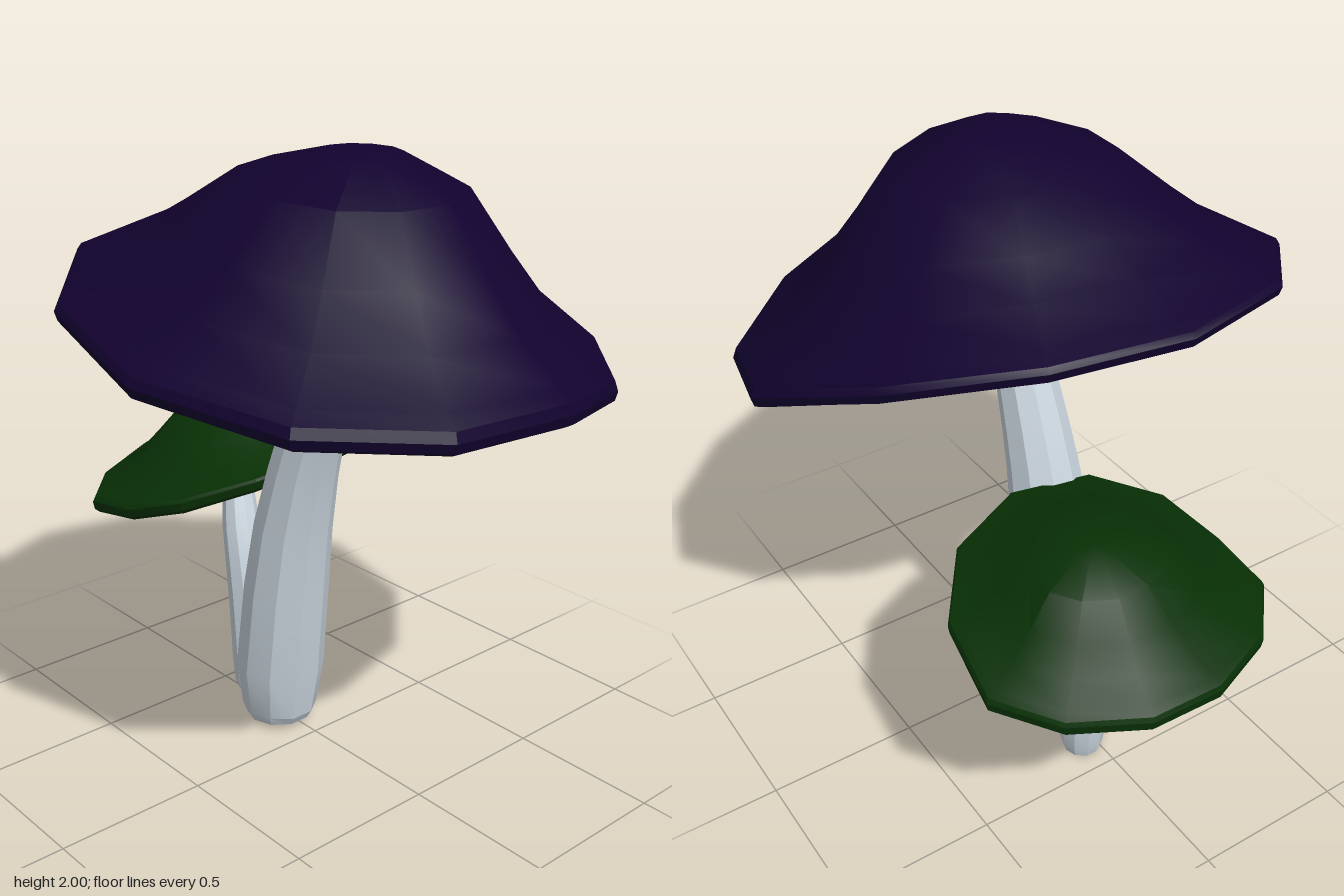
import * as THREE from 'three';
import { toCreasedNormals } from 'three/addons/utils/BufferGeometryUtils.js';

// Skin a list of equal-length closed rings (arrays of Vector3)
function loft(rings, crease) {
  const n = rings[0].length, index = [];
  for (let j = 0; j < rings.length - 1; j++) {
    for (let i = 0; i < n; i++) {
      const a = j * n + i, b = j * n + (i + 1) % n;
      index.push(a, b, a + n, b, b + n, a + n);
    }
  }
  const geo = new THREE.BufferGeometry().setFromPoints(rings.flat());
  geo.setIndex(index);
  return toCreasedNormals(geo, crease);
}

// Cap profile: [share of the rim radius, share of the rise from rim to apex]
const DOME = [[0, 1], [0.15, 0.975], [0.42, 0.8], [0.6, 0.5], [0.75, 0.27], [0.93, 0.1], [0.985, 0.05], [1, 0]];
// Rolled lip: [share of the rim radius, drop below the rim]
const LIP = [[0.99, 0.028], [0.96, 0.042]];

function cap(rim, apex, underY) {
  const ring = (s, height) => rim.map(([x, y, z]) => new THREE.Vector3(
    THREE.MathUtils.lerp(apex[0], x, s), height(y), THREE.MathUtils.lerp(apex[2], z, s)));
  const rings = DOME.map(([s, t]) => ring(s, y => THREE.MathUtils.lerp(y, apex[1], t)));
  for (const [s, d] of LIP) rings.push(ring(s, y => y - d));
  // shallow underside up to the stem
  for (const s of [0.5, 0]) {
    rings.push(ring(s, y => THREE.MathUtils.lerp(underY, y - 0.042, s)));
  }
  return loft(rings, 0.5);
}

// Faceted stem through stations [x, y, z, radius], listed from top to bottom
function stem(stations, sides = 10) {
  const path = new THREE.CatmullRomCurve3(stations.map(([x, y, z]) => new THREE.Vector3(x, y, z)));
  const up = new THREE.Vector3(0, 1, 0);
  const last = stations.length - 1;
  const makeRing = (c, r, q) => Array.from({ length: sides }, (_, i) => {
    const a = (i + 0.5) / sides * Math.PI * 2;
    return new THREE.Vector3(r * Math.cos(a), 0, r * Math.sin(a)).applyQuaternion(q).add(c);
  });
  const rings = stations.map(([x, y, z, r], k) => {
    const q = new THREE.Quaternion();
    if (k < last) q.setFromUnitVectors(up, path.getTangent(k / last).negate());
    return makeRing(new THREE.Vector3(x, y, z), r, q);
  });
  // closed foot
  const [x, y, z] = stations[last];
  rings.push(makeRing(new THREE.Vector3(x, y, z), 0, new THREE.Quaternion()));
  return loft(rings, 0.35);
}

export function createModel() {
  const paleGrey = new THREE.MeshStandardMaterial({ color: 0xc8d3dc, side: THREE.DoubleSide });
  const purple = new THREE.MeshStandardMaterial({ color: 0x11022e });
  const green = new THREE.MeshStandardMaterial({ color: 0x083005 });
  const model = new THREE.Group();

  const mushroom = (name, capGeo, capMat, stemGeo) => {
    const group = new THREE.Group();
    group.name = name;
    const capMesh = new THREE.Mesh(capGeo, capMat);
    capMesh.name = name + 'Cap';
    const stemMesh = new THREE.Mesh(stemGeo, paleGrey);
    stemMesh.name = name + 'Stem';
    group.add(capMesh, stemMesh);
    model.add(group);
  };

  // Tall mushroom: tilted, uneven rim
  const largeRim = [
    [0.09, 1.44, -0.87], [0.49, 1.33, -0.76], [0.82, 1.33, -0.44], [0.99, 1.395, -0.04],
    [0.97, 1.41, 0.39], [0.72, 1.43, 0.71], [0.26, 1.48, 0.86], [-0.21, 1.575, 0.785],
    [-0.53, 1.66, 0.5], [-0.66, 1.695, 0.08], [-0.58, 1.685, -0.33], [-0.31, 1.6, -0.68],
  ];
  mushroom('largeMushroom', cap(largeRim, [0.21, 2, 0], 1.55), purple, stem([
    [0.165, 1.565, 0.02, 0.2], [0.16, 1.54, 0.02, 0.185], [0.15, 1.5, 0.02, 0.1],
    [0.14, 1.45, 0.02, 0.085], [0.105, 1.34, 0.02, 0.09], [0.05, 1.2, 0.02, 0.098],
    [0.003, 1.07, 0.02, 0.107], [-0.035, 0.95, 0.02, 0.115], [-0.085, 0.75, 0.02, 0.13],
    [-0.122, 0.52, 0.02, 0.142], [-0.158, 0.22, 0.02, 0.149], [-0.165, 0.06, 0.02, 0.128],
    [-0.168, 0.022, 0.02, 0.112],
  ]));

  // Short mushroom leaning the other way
  const smallRim = [
    [-0.7, 0.78, -0.61], [-0.43, 0.84, -0.57], [-0.22, 0.91, -0.41], [-0.115, 0.94, -0.15],
    [-0.14, 0.91, 0.13], [-0.29, 0.84, 0.32], [-0.5, 0.77, 0.385], [-0.71, 0.735, 0.39],
    [-0.89, 0.73, 0.23], [-1, 0.755, -0.02], [-1, 0.765, -0.26], [-0.89, 0.775, -0.48],
  ];
  mushroom('smallMushroom', cap(smallRim, [-0.59, 1.075, -0.18], 0.85), green, stem([
    [-0.56, 0.855, -0.115, 0.09], [-0.555, 0.84, -0.113, 0.085], [-0.545, 0.815, -0.105, 0.055],
    [-0.522, 0.76, -0.09, 0.052], [-0.465, 0.6, -0.06, 0.066], [-0.434, 0.49, -0.053, 0.072],
    [-0.41, 0.38, -0.05, 0.077], [-0.39, 0.24, -0.047, 0.08], [-0.381, 0.12, -0.046, 0.08],
    [-0.38, 0.03, -0.045, 0.072], [-0.38, 0.002, -0.045, 0.063],
  ]));

  return model;
}
